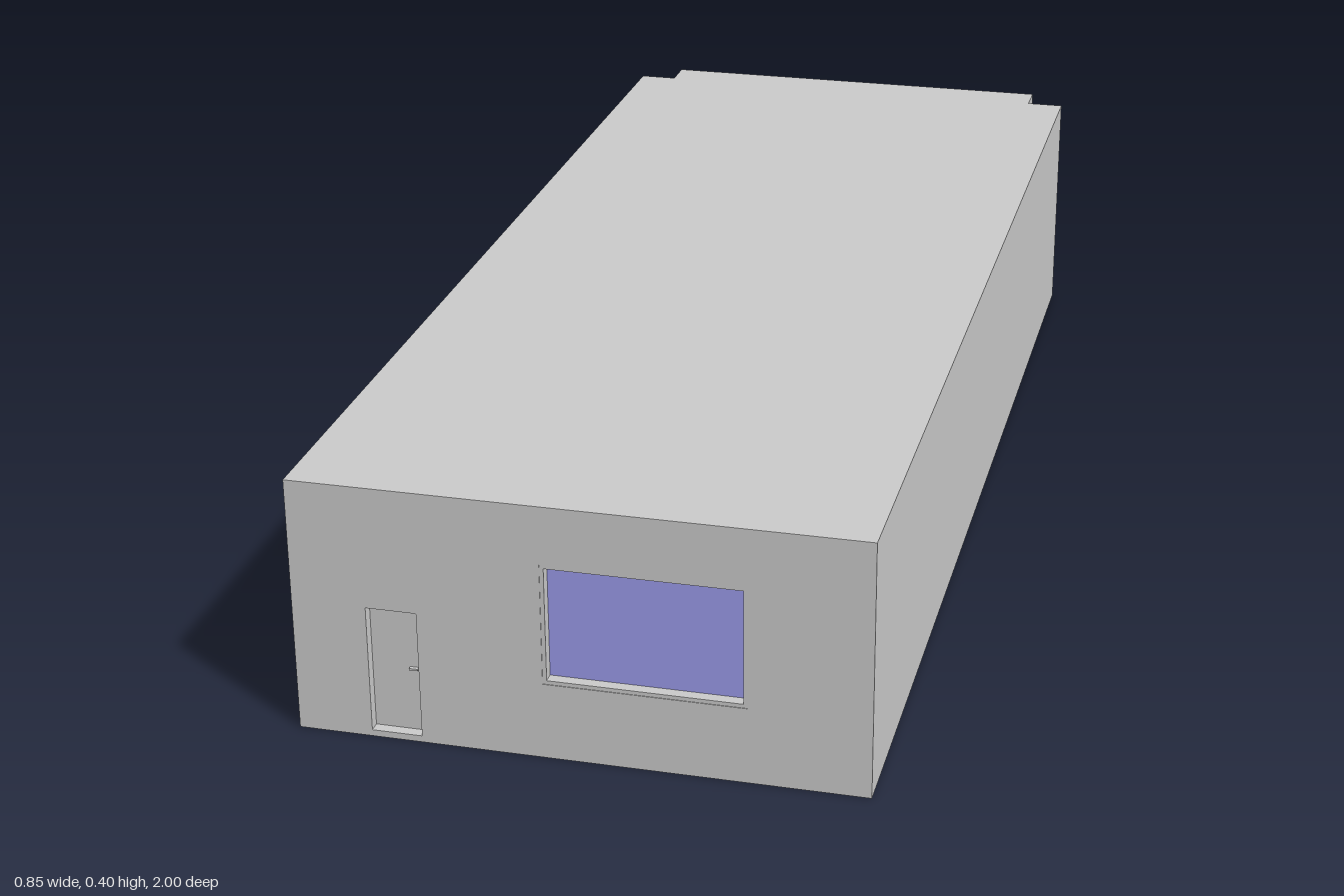
import * as THREE from 'three';

const grey = new THREE.MeshStandardMaterial({ color: 0xcccccc });
const blue = new THREE.MeshStandardMaterial({ color: 0x9c9cec });
const H = 0.4, W = 0.425, BAY = 0.36, STEP = -0.94, SKIN = 0.02;

// Rectangle outline from x0,y0 to x1,y1
function rect(x0, y0, x1, y1, Kind = THREE.Path) {
  const p = new Kind();
  p.moveTo(x0, y0).lineTo(x1, y0).lineTo(x1, y1).lineTo(x0, y1).closePath();
  return p;
}

// Flat panel with holes, extruded from z by depth
function panel(outline, holes, z, depth) {
  outline.holes.push(...holes);
  return new THREE.ExtrudeGeometry(outline, { depth, bevelEnabled: false, curveSegments: 16 }).translate(0, 0, z);
}

export function createModel() {
  const model = new THREE.Group();
  const add = (name, geometry, material = grey) => {
    const mesh = new THREE.Mesh(geometry, material);
    mesh.name = name;
    model.add(mesh);
    return mesh;
  };
  const box = (name, x0, x1, y0, y1, z0, z1, material) =>
    add(name, new THREE.BoxGeometry(x1 - x0, y1 - y0, z1 - z0)
      .translate((x0 + x1) / 2, (y0 + y1) / 2, (z0 + z1) / 2), material);

  // Long hall with a narrower bay at the back; shape y becomes -z
  const plan = new THREE.Shape([
    [-W, SKIN - 1], [W, SKIN - 1], [W, -STEP], [BAY, -STEP],
    [BAY, 1 - SKIN], [-BAY, 1 - SKIN], [-BAY, -STEP], [-W, -STEP],
  ].map(([x, y]) => new THREE.Vector2(x, y)));
  add('hall', new THREE.ExtrudeGeometry(plan, { depth: H, bevelEnabled: false }).rotateX(-Math.PI / 2));

  // Front wall with openings for the door and window
  const door = [-0.313, 0.01, -0.237, 0.21];
  const opening = [-0.052, 0.12, 0.246, 0.31];
  const pane = [-0.046, 0.126, 0.24, 0.304];
  add('frontWall', panel(rect(-W, 0, W, H, THREE.Shape), [rect(...door), rect(...opening)], 1 - SKIN, SKIN));
  add('frontWindowFrame', panel(rect(...opening, THREE.Shape), [rect(...pane)], 1 - SKIN, SKIN - 0.001));
  box('frontWindowGlass', pane[0], pane[2], pane[1], pane[3], 0.978, 0.982, blue);

  // Recessed door leaf and handle
  box('door', door[0], door[2], door[1], door[3], 0.975, 0.983);
  box('doorHandle', -0.256, -0.243, 0.11, 0.113, 0.983, 0.989);

  // Back wall with a ribbon window and two round vents
  const ribbon = [-0.34, 0.16, 0.34, 0.345];
  const vents = [0.28, -0.23].map((x) => new THREE.Path().absarc(x, 0.087, 0.019, 0, Math.PI * 2));
  add('backWall', panel(rect(-BAY, 0, BAY, H, THREE.Shape), [rect(...ribbon), ...vents], -1, SKIN));
  const third = (ribbon[2] - ribbon[0]) / 3;
  for (let i = 0; i < 3; i++) {
    const x = ribbon[0] + i * third;
    box('backWindowGlass', x, x + third, ribbon[1], ribbon[3], -0.984, -0.976, blue);
    if (i) box('backWindowMullion', x - 0.002, x + 0.002, ribbon[1], ribbon[3], -0.988, -0.98);
  }
  return model;
}
